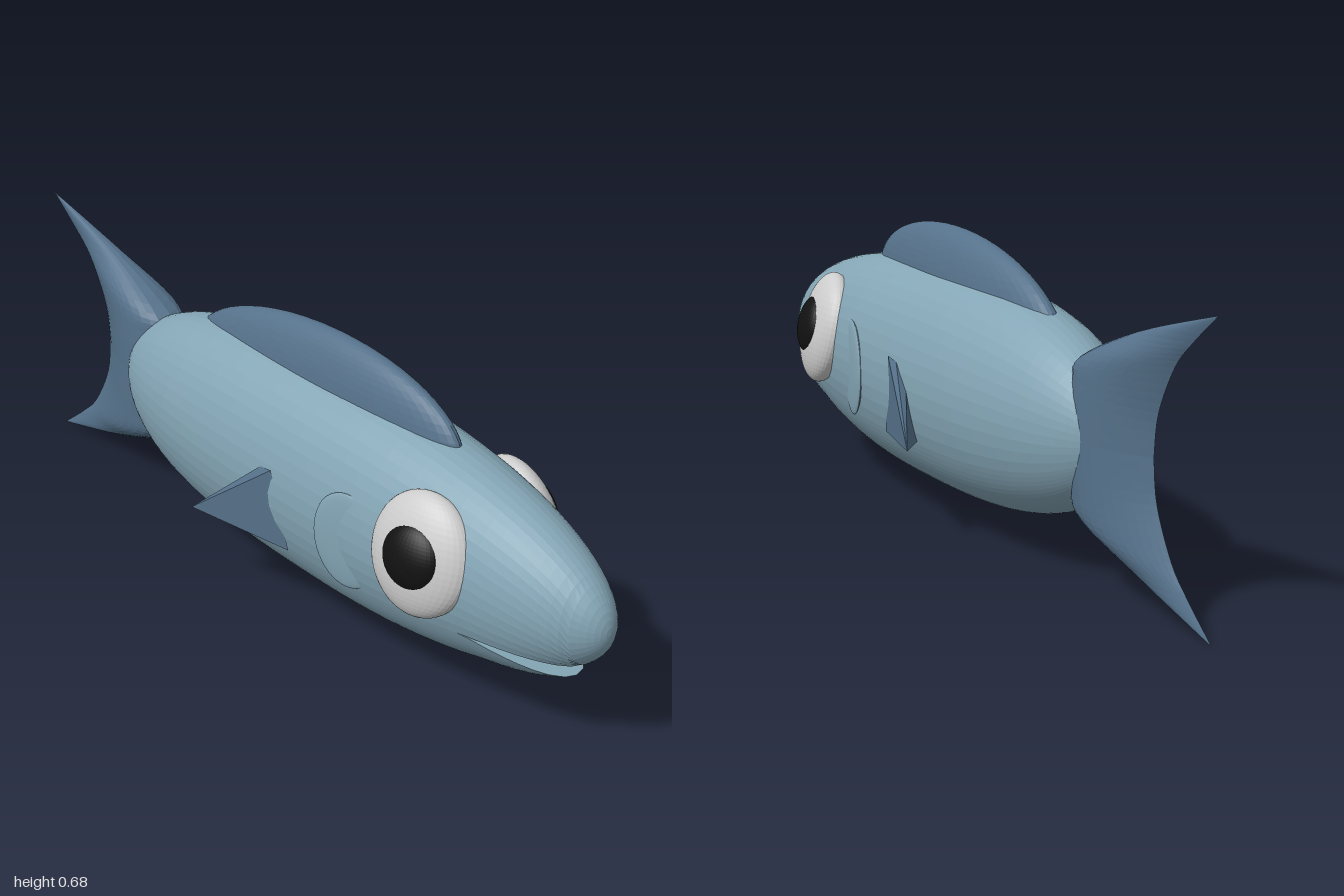
import * as THREE from 'three';
import { ConvexGeometry } from 'three/addons/geometries/ConvexGeometry.js';

const mat = (color) => new THREE.MeshStandardMaterial({ color, flatShading: true });
const skin = mat(0x84a5b5), fin = mat(0x55718a), white = mat(0xeeeeee), black = mat(0x111111);
const CY = 0.328, CZ = 0.185, RX = 0.183, RY = 0.258, RZ = 0.815;
const HINGE = 0.7, LIP = 0.23, JAW_TIP = 0.915;

// Skin between rings of points; wrap(i) says whether ring i is closed
function loft(rings, wrap = () => true) {
  const n = rings[0].length, index = [];
  for (let i = 0; i < rings.length - 1; i++) {
    for (let j = 0; j < (wrap(i) ? n : n - 1); j++) {
      const k = (j + 1) % n, a = i * n, b = a + n;
      index.push(a + j, b + j, a + k, a + k, b + j, b + k);
    }
  }
  const g = new THREE.BufferGeometry();
  g.setAttribute('position', new THREE.Float32BufferAttribute(rings.flat(2), 3));
  g.setIndex(index);
  g.computeVertexNormals();
  return g;
}

function add(parent, name, geometry, material) {
  const mesh = new THREE.Mesh(geometry, material);
  mesh.name = name;
  parent.add(mesh);
  return mesh;
}

function ellipsoid(parent, name, material, radii, position) {
  const mesh = add(parent, name, new THREE.SphereGeometry(1, 40, 28), material);
  mesh.scale.set(...radii);
  mesh.position.set(...position);
  return mesh;
}

// Body girth along z: rounded nose, blunter rear
function girth(z) {
  const t = Math.min(1, Math.abs(z - CZ) / RZ);
  return Math.sqrt(Math.max(0, 1 - t ** (z > CZ ? 2.1 : 3)));
}

// Upper or lower half of the body, split at the mouth
function bodyHalf(lower) {
  const zs = [], rings = [];
  for (let i = 0; i <= 52; i++) {
    let z = CZ + RZ * Math.cos(Math.PI * i / 52);
    if (lower) z = Math.min(z, JAW_TIP);
    const f = Math.max(girth(z), 0.0005), open = Math.max(0, z - HINGE);
    // behind the hinge the halves meet at a fixed angle
    const cut = LIP - (lower ? 0.09 * open : 0);
    const reach = RY * (open > 0 ? f : girth(HINGE));
    const a = Math.asin(THREE.MathUtils.clamp((cut - CY) / reach, -1, 1));
    const from = lower ? Math.PI - a : a, to = lower ? 2 * Math.PI + a : Math.PI - a;
    const ring = [];
    for (let j = 0; j <= 32; j++) {
      const q = from + (to - from) * j / 32;
      // the jaw drops away from its hinge
      ring.push([RX * f * Math.cos(q), CY + RY * f * Math.sin(q) - (lower ? 0.1 * open : 0), z]);
    }
    zs.push(z);
    rings.push(ring);
  }
  return loft(rings, (i) => zs[i] > HINGE);
}

// Forked tail: lens sections between a leading and a trailing edge
function tailGeometry() {
  const spline = (pts) => new THREE.SplineCurve(pts.map((p) => new THREE.Vector2(...p)));
  // [z, height from the middle]
  const lead = spline([[-0.47, 0], [-0.485, 0.11], [-0.505, 0.165], [-0.71, 0.25], [-0.99, 0.326]]);
  const trail = spline([[-0.77, 0], [-0.785, 0.095], [-0.845, 0.2], [-0.91, 0.26], [-1, 0.328]]);
  const thick = spline([[0, 0.07], [1, 0.068], [2, 0.06], [3, 0.022], [4, 0]]);
  const rings = [], half = 20, n = 14;
  for (let i = -half; i <= half; i++) {
    const u = Math.abs(i) / half, s = i < 0 ? 1 : -1;
    const p = lead.getPoint(u), q = trail.getPoint(u), w = Math.max(0, thick.getPoint(u).y);
    const ring = [];
    for (let j = 0; j < 2 * n; j++) {
      const side = j <= n ? 1 : -1, v = j <= n ? j / n : (2 * n - j) / n;
      const c = v * v * (3 - 2 * v) * 0.5 + v * 0.5;
      const x = side * w * 2.6 * Math.sqrt(c) * (1 - c);
      ring.push([x, CY + s * (p.y + (q.y - p.y) * c), p.x + (q.x - p.x) * c]);
    }
    rings.push(ring);
  }
  return loft(rings);
}

export function createModel() {
  const model = new THREE.Group();
  model.name = 'fish';

  add(model, 'upperBody', bodyHalf(false), skin);
  add(model, 'lowerBodyAndJaw', bodyHalf(true), skin);

  // Dorsal fin: slim ellipsoid leaning towards the nose
  const dorsal = new THREE.SphereGeometry(1, 48, 32);
  dorsal.scale(0.068, 0.18, 0.46);
  dorsal.applyMatrix4(new THREE.Matrix4().makeShear(0, 0, 0, 0.45, 0, 0));
  add(model, 'dorsalFin', dorsal, fin).position.set(0, 0.5, 0.08);

  add(model, 'tailFin', tailGeometry(), fin);

  for (const s of [1, -1]) {
    const side = s > 0 ? 'left' : 'right';

    // Eye: white and pupil share one outward, upward, forward tilt
    const tilt = (mesh) => mesh.rotation.set(0, -s * 0.17, s * 0.22);
    tilt(ellipsoid(model, side + 'Eye', white, [0.056, 0.138, 0.128], [s * 0.141, 0.378, 0.587]));
    tilt(ellipsoid(model, side + 'Pupil', black, [0.036, 0.074, 0.075], [s * 0.173, 0.386, 0.593]));

    // Gill cover, rear edge just proud of the body
    const gill = ellipsoid(model, side + 'GillCover', skin, [0.012, 0.115, 0.092], [s * 0.164, 0.318, 0.37]);
    gill.rotation.y = -s * 0.21;

    // Pectoral fin: swept-back wedge
    const corners = [[0.181, 0.392, 0.125], [0.179, 0.385, 0.085], [0.168, 0.203, 0.17],
      [0.155, 0.21, 0.02], [0.175, 0.34, 0.04], [0.237, 0.22, -0.1]];
    add(model, side + 'PectoralFin', new ConvexGeometry(
      corners.map(([x, y, z]) => new THREE.Vector3(s * x, y, z))), fin);
  }
  return model;
}
